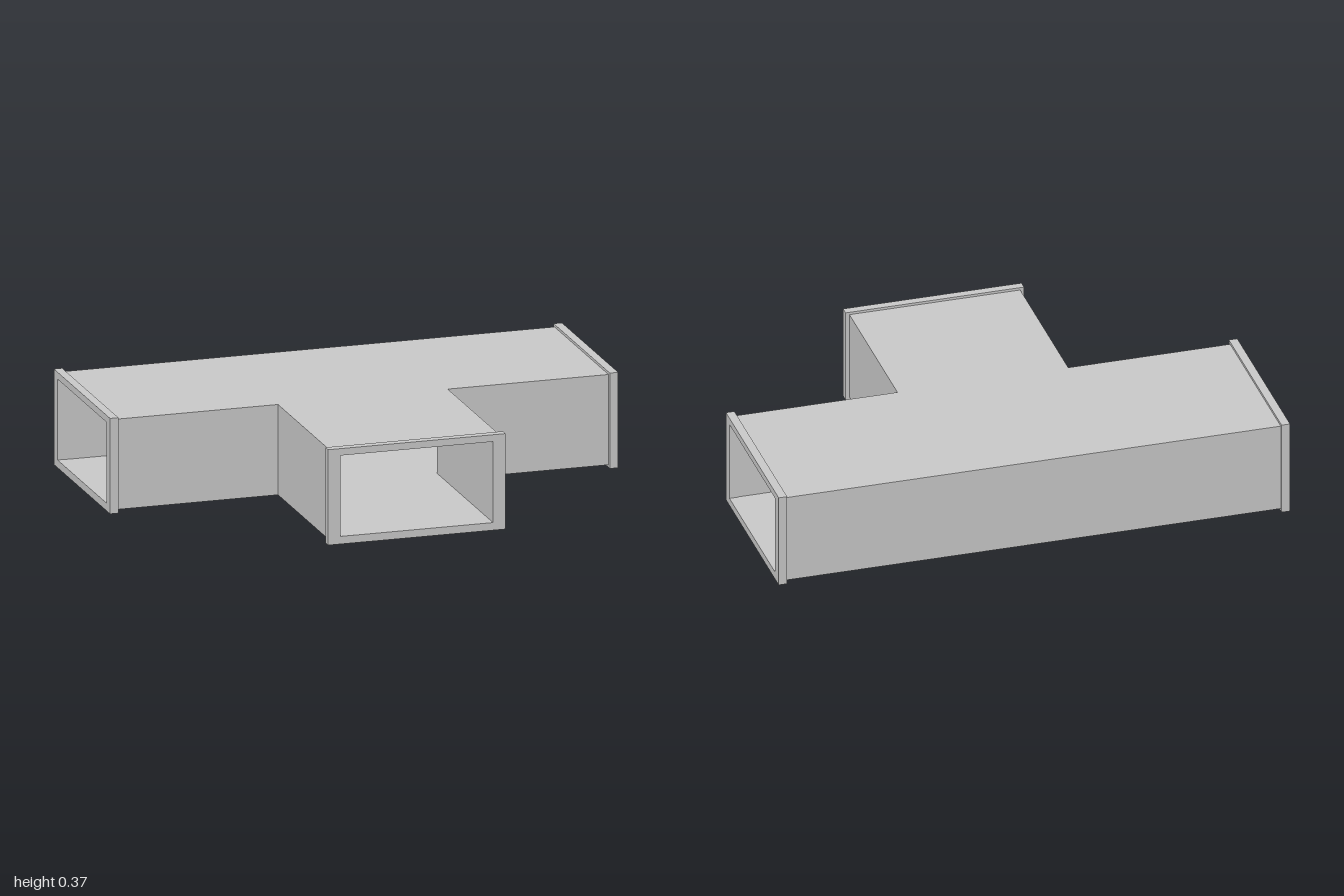
import * as THREE from 'three';

const material = new THREE.MeshStandardMaterial({ color: 0xcccccc, flatShading: true });

// Main duct (along x) and branch (along +z)
const END = 0.967, FRONT_END = 0.635, RIM = 0.033;
const BACK = -0.656, FRONT = 0.007, BRANCH = 0.334;
const IN_BACK = -0.619, IN_FRONT = -0.021, IN_BRANCH = 0.3;
const BOTTOM = 0.01, TOP = 0.363, IN_BOTTOM = 0.03, IN_TOP = 0.346, HEIGHT = 0.373;

// Plan outline of [x, z] points raised from y0 to y1
function slab(name, plan, y0, y1) {
  const shape = new THREE.Shape(plan.map(([x, z]) => new THREE.Vector2(x, -z)));
  const geo = new THREE.ExtrudeGeometry(shape, { depth: y1 - y0, bevelEnabled: false });
  geo.rotateX(-Math.PI / 2).translate(0, y0, 0);
  const mesh = new THREE.Mesh(geo, material);
  mesh.name = name;
  return mesh;
}

// Rectangular frame: outer and inner half widths, extruded along +z
function rim(name, outer, inner) {
  const rect = (Kind, w, y0, y1) => new Kind([[-w, y0], [w, y0], [w, y1], [-w, y1]]
    .map(([x, y]) => new THREE.Vector2(x, y)));
  const shape = rect(THREE.Shape, outer, 0, HEIGHT);
  shape.holes.push(rect(THREE.Path, inner, IN_BOTTOM, IN_TOP));
  const mesh = new THREE.Mesh(
    new THREE.ExtrudeGeometry(shape, { depth: RIM, bevelEnabled: false }), material);
  mesh.name = name;
  return mesh;
}

export function createModel() {
  const model = new THREE.Group();
  model.name = 'ductTee';

  // T-shaped floor and roof
  const tee = [[-END, BACK], [END, BACK], [END, FRONT], [BRANCH, FRONT],
    [BRANCH, FRONT_END], [-BRANCH, FRONT_END], [-BRANCH, FRONT], [-END, FRONT]];
  model.add(slab('floorPanel', tee, BOTTOM, IN_BOTTOM));
  model.add(slab('roofPanel', tee, IN_TOP, TOP));

  // Back wall
  model.add(slab('backWall',
    [[-END, BACK], [END, BACK], [END, IN_BACK], [-END, IN_BACK]], IN_BOTTOM, IN_TOP));

  for (const [side, s] of [['left', 1], ['right', -1]]) {
    // L-shaped wall joining the main duct to the branch
    const corner = [[END, IN_FRONT], [END, FRONT], [BRANCH, FRONT], [BRANCH, FRONT_END],
      [IN_BRANCH, FRONT_END], [IN_BRANCH, IN_FRONT]].map(([x, z]) => [s * x, z]);
    model.add(slab(side + 'CornerWall', corner, IN_BOTTOM, IN_TOP));

    // End flange of the main duct
    const flange = rim(side + 'Flange', 0.345, (IN_FRONT - IN_BACK) / 2);
    flange.rotation.y = s * Math.PI / 2;
    flange.position.set(s * END, 0, (IN_FRONT + IN_BACK) / 2 - 0.002);
    model.add(flange);
  }

  // Branch flange
  const front = rim('frontFlange', 0.349, IN_BRANCH);
  front.position.z = FRONT_END;
  model.add(front);

  return model;
}
